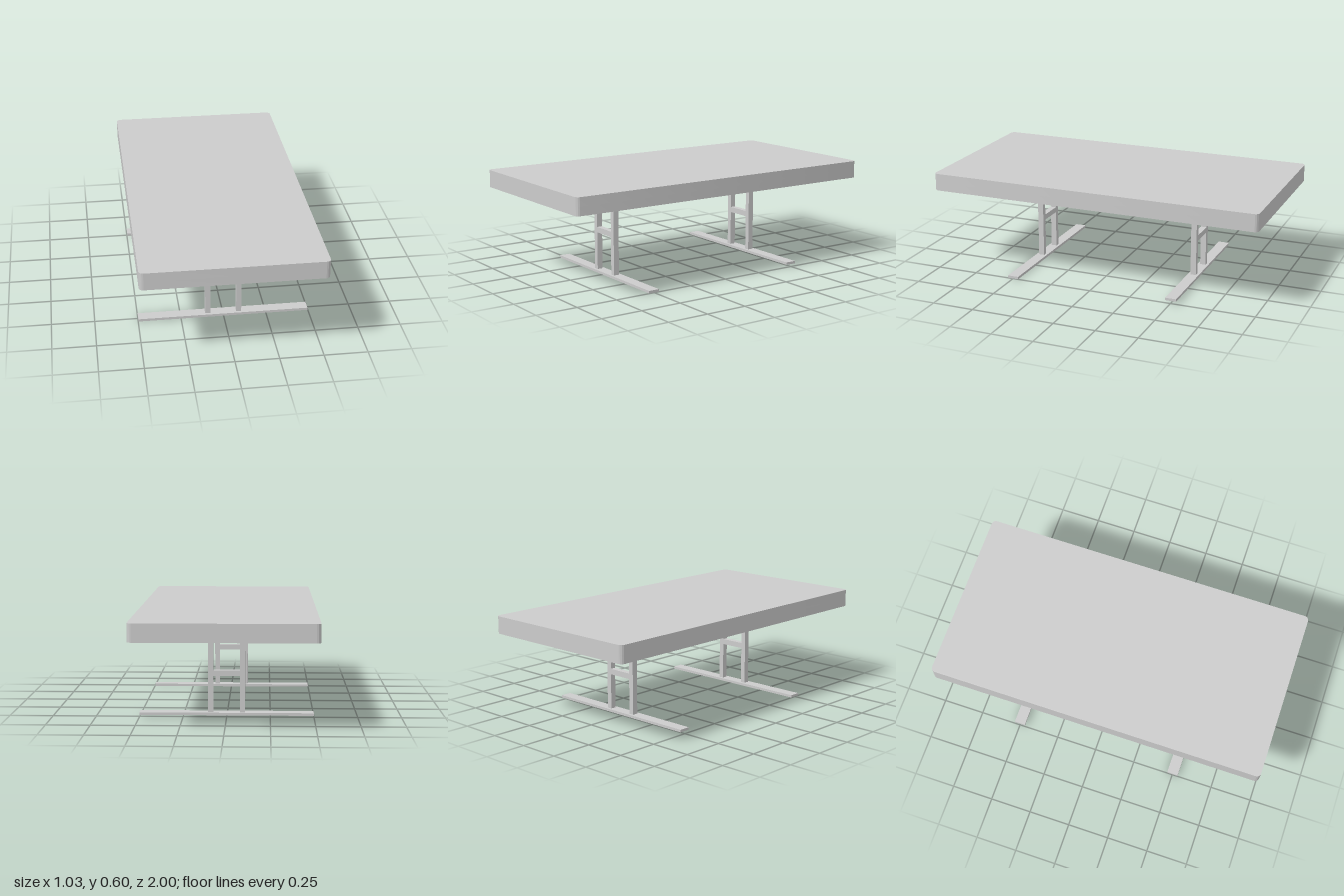
import * as THREE from 'three';
import { toCreasedNormals } from 'three/addons/utils/BufferGeometryUtils.js';

const grey = new THREE.MeshStandardMaterial({ color: 0xcccccc });
grey.name = 'light grey';

const HALF_W = 0.515, FLOOR_Y = 0.55, RING_R = 0.387, HOLE_R = 0.353;

function addMesh(parent, name, geometry, x = 0, y = 0, z = 0) {
  const mesh = new THREE.Mesh(geometry, grey);
  mesh.name = name;
  mesh.position.set(x, y, z);
  parent.add(mesh);
  return mesh;
}

// Extrudes a floor-plan shape upwards from y = 0
function slab(shape, height) {
  const g = new THREE.ExtrudeGeometry(shape, { depth: height, bevelEnabled: false, curveSegments: 24 });
  g.rotateX(-Math.PI / 2);
  return toCreasedNormals(g, 0.6);
}

function roundedRect(hw, hd, r) {
  const s = new THREE.Shape();
  s.absarc(hw - r, hd - r, r, 0, Math.PI / 2);
  s.absarc(-hw + r, hd - r, r, Math.PI / 2, Math.PI);
  s.absarc(-hw + r, -hd + r, r, Math.PI, Math.PI * 1.5);
  s.absarc(hw - r, -hd + r, r, Math.PI * 1.5, Math.PI * 2);
  s.closePath();
  return s;
}

function circlePath(y, r) {
  return new THREE.Path().absarc(0, y, r, 0, Math.PI * 2, true);
}

function rectPath(hw, hd) {
  return [[-hw, -hd], [hw, -hd], [hw, hd], [-hw, hd]].map(([x, y]) => new THREE.Vector2(x, y));
}

// One H-shaped leg with its foot, standing at footY
function createLeg(footY) {
  const leg = new THREE.Group();
  const postBottom = footY + 0.006;
  const postHeight = FLOOR_Y - postBottom;
  for (const side of [-1, 1]) {
    addMesh(leg, side > 0 ? 'leftPost' : 'rightPost',
      new THREE.BoxGeometry(0.03, postHeight, 0.034), side * 0.091, postBottom + postHeight / 2);
  }
  addMesh(leg, 'crossbar', new THREE.BoxGeometry(0.154, 0.033, 0.034), 0, 0.256);
  addMesh(leg, 'topBar', new THREE.BoxGeometry(0.154, 0.03, 0.034), 0, FLOOR_Y - 0.015);

  // Foot: flat plate with a shallow rim underneath
  const rim = new THREE.Shape(rectPath(0.498, 0.033));
  rim.holes.push(new THREE.Path(rectPath(0.492, 0.026)));
  addMesh(leg, 'footRim', slab(rim, 0.009), 0, footY);
  addMesh(leg, 'footPlate', new THREE.BoxGeometry(0.996, 0.006, 0.066), 0, footY + 0.012);
  return leg;
}

export function createModel() {
  const table = new THREE.Group();
  table.name = 'table';

  // Table top: solid upper layer over a lower layer with two round recesses
  addMesh(table, 'topUpper', slab(roundedRect(HALF_W, 1, 0.026), 0.6 - FLOOR_Y + 0.003), 0, FLOOR_Y);
  const lower = roundedRect(HALF_W, 1, 0.026);
  lower.holes.push(circlePath(0.5, HOLE_R), circlePath(-0.5, HOLE_R));
  addMesh(table, 'topLower', slab(lower, FLOOR_Y - 0.5), 0, 0.5);

  for (const front of [true, false]) {
    const z = front ? 0.5 : -0.5;
    // Ring lip around the recess
    const ring = new THREE.Shape().absarc(0, 0, RING_R, 0, Math.PI * 2);
    ring.holes.push(circlePath(0, HOLE_R));
    addMesh(table, front ? 'frontRing' : 'backRing', slab(ring, 0.013), 0, 0.487, z);

    const leg = createLeg(front ? 0 : 0.015);
    leg.name = front ? 'frontLeg' : 'backLeg';
    leg.position.z = z;
    table.add(leg);
  }
  return table;
}
